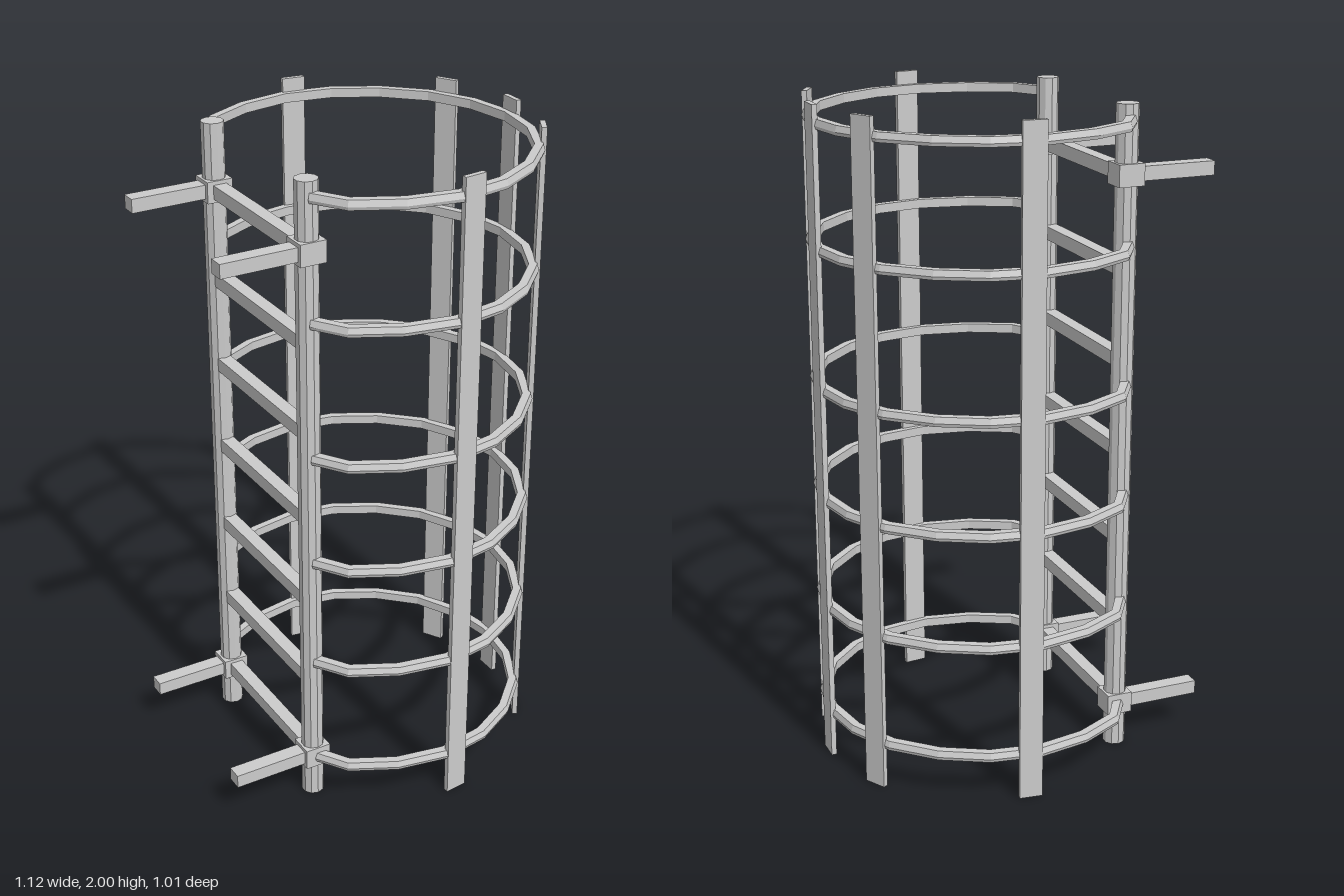
import * as THREE from 'three';

const mat = new THREE.MeshStandardMaterial({ color: 0xcccccc, flatShading: true });

function add(parent, name, geo, x, y, z, ry = 0) {
  const m = new THREE.Mesh(geo, mat);
  m.name = name;
  m.position.set(x, y, z);
  m.rotation.y = ry;
  parent.add(m);
  return m;
}

// Sweeps a slightly bevelled bar section along a flat faceted path of [x, z] points
function hoopGeometry(path) {
  const section = [[-0.015, 0.014], [0.010, 0.014], [0.016, -0.004], [0.013, -0.014], [-0.015, -0.014]];
  const pts = path.map(p => new THREE.Vector2(p[0], p[1]));
  const rings = pts.map((p, i) => {
    const a = pts[Math.max(i - 1, 0)], b = pts[Math.min(i + 1, pts.length - 1)];
    const t = b.clone().sub(a).normalize();
    return section.map(([n, y]) => [p.x - t.y * n, y, p.y + t.x * n]);
  });
  const pos = [];
  const tri = (a, b, c) => pos.push(...a, ...b, ...c);
  const n = section.length;
  for (let i = 0; i < rings.length - 1; i++) {
    for (let j = 0; j < n; j++) {
      const k = (j + 1) % n;
      tri(rings[i][j], rings[i][k], rings[i + 1][k]);
      tri(rings[i][j], rings[i + 1][k], rings[i + 1][j]);
    }
  }
  // End caps
  const first = rings[0], last = rings[rings.length - 1];
  for (let j = 1; j < n - 1; j++) {
    tri(first[0], first[j + 1], first[j]);
    tri(last[0], last[j], last[j + 1]);
  }
  const g = new THREE.BufferGeometry();
  g.setAttribute('position', new THREE.Float32BufferAttribute(pos, 3));
  g.computeVertexNormals();
  return g;
}

export function createModel() {
  const root = new THREE.Group();
  root.name = 'cagedLadder';
  const railX = -0.29, railZ = 0.274;

  // Ladder rails with wall brackets
  for (const s of [1, -1]) {
    const side = new THREE.Group();
    side.name = s > 0 ? 'frontRailAssembly' : 'backRailAssembly';
    root.add(side);
    add(side, 'rail', new THREE.CylinderGeometry(0.034, 0.034, 1.99, 10), railX, 0.995, s * railZ);
    for (const y of [0.14, 1.79]) {
      add(side, 'bracketClamp', new THREE.BoxGeometry(0.08, 0.065, 0.076), railX, y, s * railZ);
      add(side, 'wallArm', new THREE.BoxGeometry(0.24, 0.042, 0.048), -0.44, y, s * railZ);
    }
  }

  // Rungs, evenly spaced between the brackets
  for (let i = 0; i < 7; i++) {
    add(root, 'rung', new THREE.BoxGeometry(0.042, 0.042, railZ * 2), railX, 0.14 + i * 0.275, 0);
  }

  // Safety cage hoops, mirrored front to back
  const half = [[-0.29, 0.30], [-0.23, 0.394], [-0.098, 0.461], [0.055, 0.489],
    [0.205, 0.464], [0.337, 0.393], [0.448, 0.285], [0.515, 0.151]];
  const path = [...half, [0.54, 0], ...half.slice().reverse().map(([x, z]) => [x, -z])];
  const hoop = hoopGeometry(path);
  for (const y of [0.14, 0.485, 0.83, 1.17, 1.585, 1.945]) add(root, 'cageHoop', hoop, 0, y, 0);

  // Upright flat straps of the cage
  const strap = new THREE.BoxGeometry(0.07, 2, 0.016);
  add(root, 'cageStrap', strap, 0.549, 1, 0, Math.PI / 2);
  for (const s of [1, -1]) {
    add(root, 'cageStrap', strap, 0.09, 1, s * 0.494, s * 0.12);
    add(root, 'cageStrap', strap, 0.484, 1, s * 0.248, s * 1.05);
  }
  return root;
}
